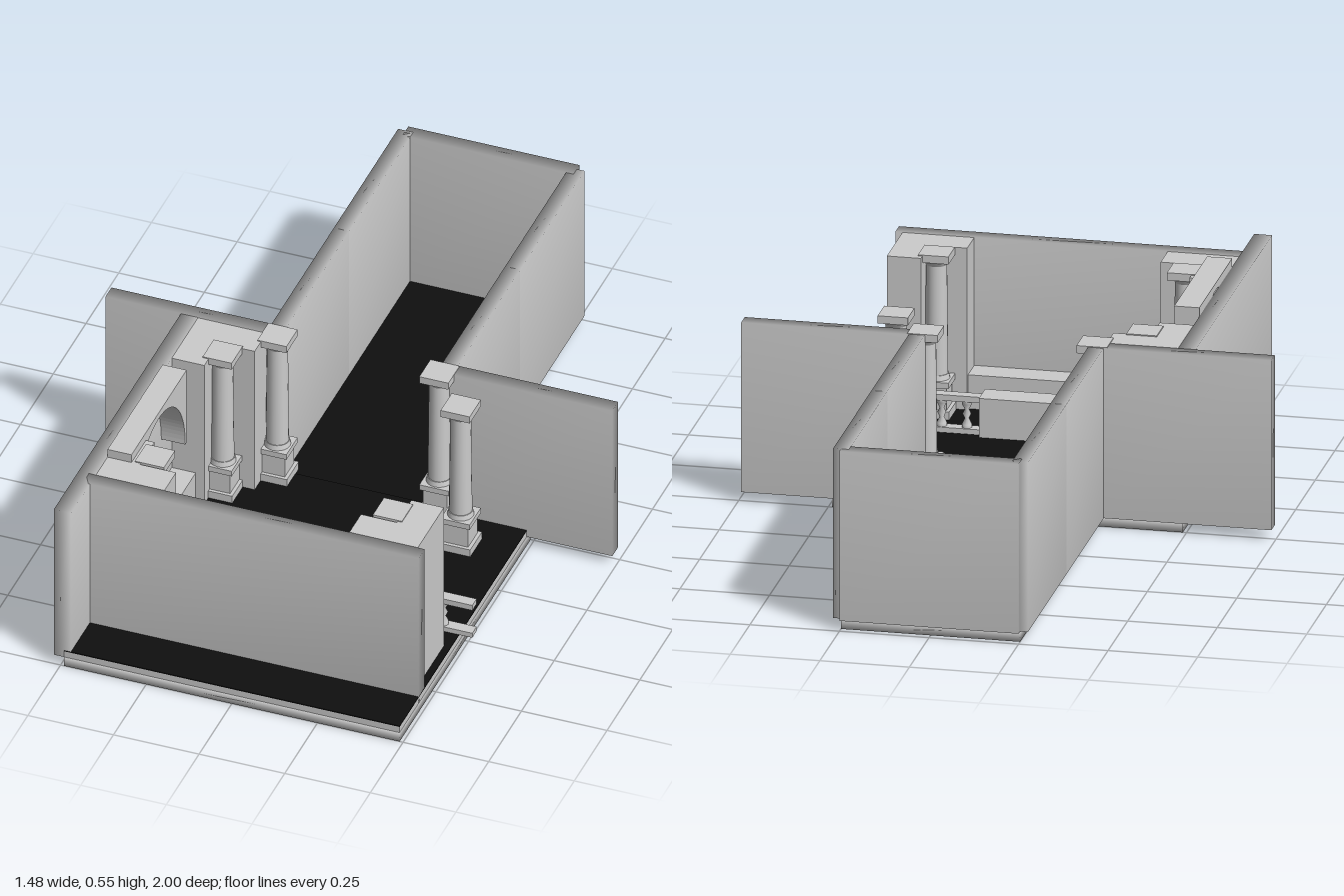
import * as THREE from 'three';
import { mergeVertices } from 'three/addons/utils/BufferGeometryUtils.js';

export function createModel() {
  const model = new THREE.Group();
  const stone = new THREE.MeshStandardMaterial({ color: 0xcccccc });
  stone.name = 'light grey stone';
  const black = new THREE.MeshStandardMaterial({ color: 0x0f0f0f });
  black.name = 'black floor';

  const add = (name, geo, mat = stone, parent = model) => {
    const mesh = new THREE.Mesh(geo, mat);
    mesh.name = name;
    parent.add(mesh);
    return mesh;
  };
  // Box given by its limits; smooth shares the normals at the corners
  const box = (name, [x0, x1], [y0, y1], [z0, z1], { smooth = false, mat = stone, parent = model } = {}) => {
    let geo = new THREE.BoxGeometry(x1 - x0, y1 - y0, z1 - z0);
    if (smooth) {
      geo.deleteAttribute('normal');
      geo.deleteAttribute('uv');
      geo = mergeVertices(geo);
      geo.computeVertexNormals();
    }
    geo.translate((x0 + x1) / 2, (y0 + y1) / 2, (z0 + z1) / 2);
    return add(name, geo, mat, parent);
  };
  const wall = (name, x, z) => box(name, x, [0.03, 0.52], z, { smooth: true });

  // Floors: base slabs, raised room floor and black paving
  box('roomBase', [-0.49, 0.49], [0, 0.03], [0, 1], { smooth: true });
  box('corridorBase', [-0.25, 0.25], [0, 0.03], [-0.98, 0], { smooth: true });
  box('roomFloor', [-0.49, 0.49], [0.03, 0.049], [0.01, 1]);
  box('roomPaving', [-0.49, 0.49], [0.049, 0.052], [0.01, 1], { mat: black });
  box('corridorPaving', [-0.24, 0.24], [0.03, 0.034], [-0.97, 0.01], { mat: black });

  // Walls
  wall('sideWall', [-0.52, -0.47], [0.02, 1]);
  wall('frontWall', [-0.49, 0.49], [0.81, 0.855]);
  wall('corridorEndWall', [-0.25, 0.25], [-1, -0.955]);
  for (const s of [-1, 1]) {
    const span = (a, b) => (s < 0 ? [-b, -a] : [a, b]);
    wall('crossWall', span(0.25, 0.74), [-0.015, 0.03]);
    wall('corridorWall', span(0.228, 0.272), [-0.98, -0.49]);
    wall('corridorWall', span(0.228, 0.272), [-0.49, 0]);
  }

  // L-shaped corner piers, each hugging a column
  const pier = (x, z, sx, sz) => {
    const outline = [[0, 0], [0.2, 0], [0.2, 0.09], [0.095, 0.09], [0.095, 0.2], [0, 0.2]];
    const shape = new THREE.Shape(outline.map(([u, v]) => new THREE.Vector2(x + sx * u, -(z + sz * v))));
    const geo = new THREE.ExtrudeGeometry(shape, { depth: 0.469, bevelEnabled: false });
    geo.rotateX(-Math.PI / 2).translate(0, 0.05, 0);
    add('cornerPier', geo);
  };
  pier(-0.47, 0.03, 1, 1);
  pier(-0.47, 0.81, 1, -1);
  pier(0.47, 0.81, -1, -1);

  // Low benches along the walls
  box('sideBench', [-0.47, -0.4], [0.05, 0.15], [0.23, 0.61]);
  box('frontBench', [-0.27, 0.27], [0.05, 0.15], [0.73, 0.81]);

  // Arch on the side wall
  const arch = new THREE.Shape();
  arch.moveTo(0.3, 0.3);
  arch.lineTo(0.31, 0.3);
  arch.absellipse(0.51, 0.3, 0.2, 0.225, Math.PI, 0, true);
  arch.lineTo(0.72, 0.3);
  arch.lineTo(0.72, 0.545);
  arch.lineTo(0.3, 0.545);
  arch.closePath();
  const archGeo = new THREE.ExtrudeGeometry(arch, { depth: 0.07, bevelEnabled: false, curveSegments: 24 });
  archGeo.rotateY(-Math.PI / 2).translate(-0.4, 0, 0);
  add('arch', archGeo);

  // Columns: square plinth, pedestal and capital with a round shaft
  const column = (x, z) => {
    const g = new THREE.Group();
    g.name = 'column';
    g.position.set(x, 0, z);
    const block = (name, w, y) => box(name, [-w / 2, w / 2], y, [-w / 2, w / 2], { parent: g });
    const drum = (name, r0, r1, y0, y1) =>
      add(name, new THREE.CylinderGeometry(r1, r0, y1 - y0, 20).translate(0, (y0 + y1) / 2, 0), stone, g);
    block('plinth', 0.09, [0.05, 0.075]);
    block('pedestal', 0.07, [0.075, 0.14]);
    block('pedestalCap', 0.085, [0.14, 0.157]);
    drum('shaftBase', 0.037, 0.034, 0.157, 0.172);
    drum('shaft', 0.032, 0.029, 0.172, 0.485);
    drum('capitalNeck', 0.029, 0.038, 0.485, 0.5);
    block('capital', 0.085, [0.5, 0.522]);
    model.add(g);
  };
  for (const x of [-0.35, 0.345]) for (const z of [0.155, 0.672]) column(x, z);
  for (const x of [-0.238, 0.235]) column(x, 0.03);

  // Balustrade across the room with a solid middle block
  box('bottomRail', [-0.4, 0.53], [0.054, 0.069], [0.517, 0.55]);
  box('topRail', [-0.4, 0.53], [0.146, 0.163], [0.517, 0.55]);
  box('balustradeBlock', [-0.19, 0.19], [0.05, 0.165], [0.503, 0.583]);
  const profile = [[0.014, 0.069], [0.014, 0.078], [0.006, 0.095], [0.012, 0.108], [0.006, 0.121], [0.014, 0.137], [0.014, 0.146]]
    .map(([r, y]) => new THREE.Vector2(r, y));
  for (const x of [-0.37, -0.3, -0.23, 0.23, 0.3, 0.37, 0.44])
    add('baluster', new THREE.LatheGeometry(profile, 12)).position.set(x, 0, 0.534);

  return model;
}
